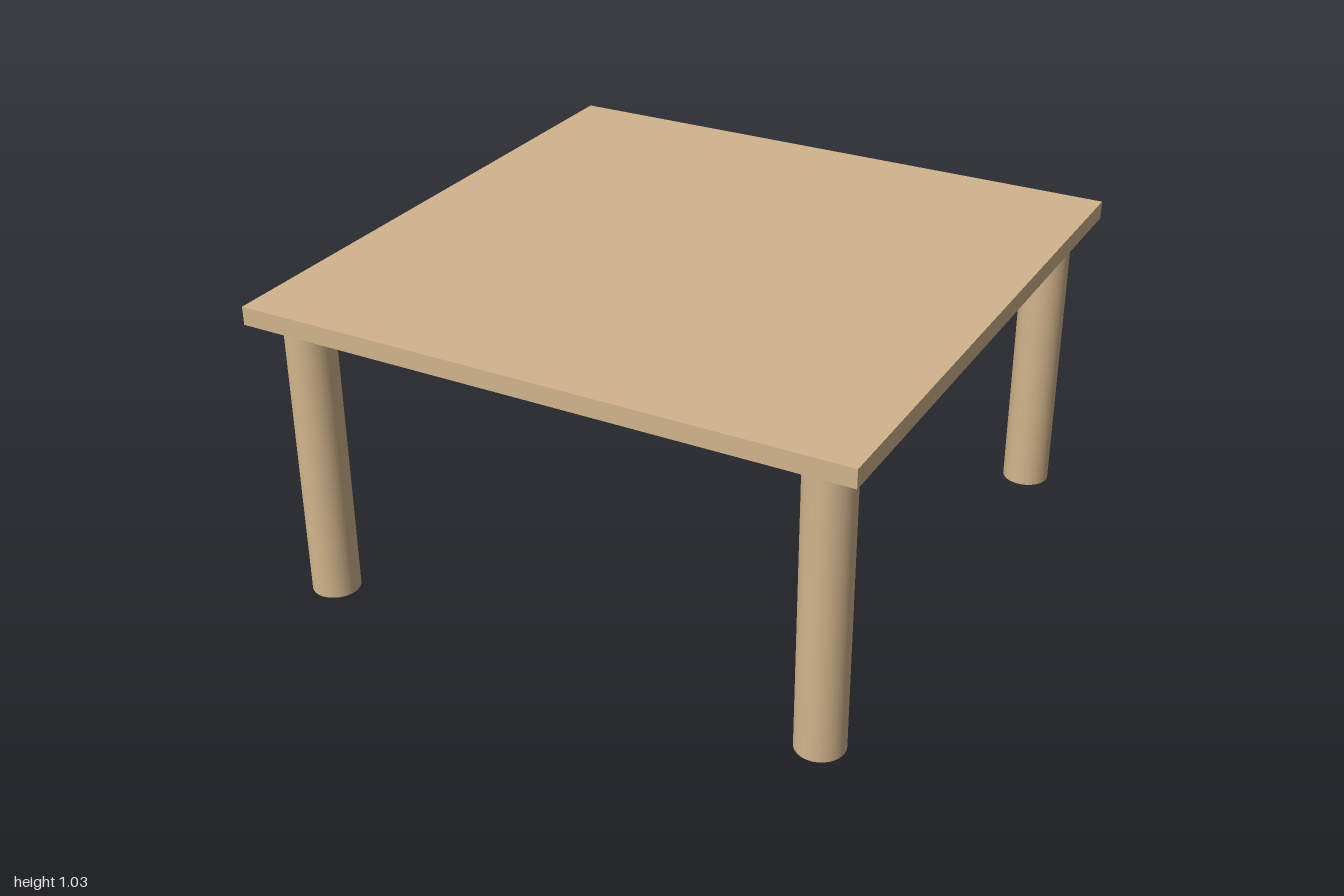
import * as THREE from 'three';

export function createModel() {
  const model = new THREE.Group();
  model.name = 'table';
  const wood = new THREE.MeshStandardMaterial({ color: 0xd2b48c });

  const legHeight = 0.967, legRadius = 0.078, legOffset = 0.866, topThickness = 0.06;

  // Square slab top
  const top = new THREE.Mesh(new THREE.BoxGeometry(2, topThickness, 2), wood);
  top.name = 'tableTop';
  top.position.y = legHeight + topThickness / 2;
  model.add(top);

  // Four round legs, one near each corner
  const legGeometry = new THREE.CylinderGeometry(legRadius, legRadius, legHeight, 32);
  for (const [endName, z] of [['front', 1], ['back', -1]]) {
    for (const [sideName, x] of [['Left', 1], ['Right', -1]]) {
      const leg = new THREE.Mesh(legGeometry, wood);
      leg.name = `${endName}${sideName}Leg`;
      leg.position.set(x * legOffset, legHeight / 2, z * legOffset);
      model.add(leg);
    }
  }

  return model;
}
